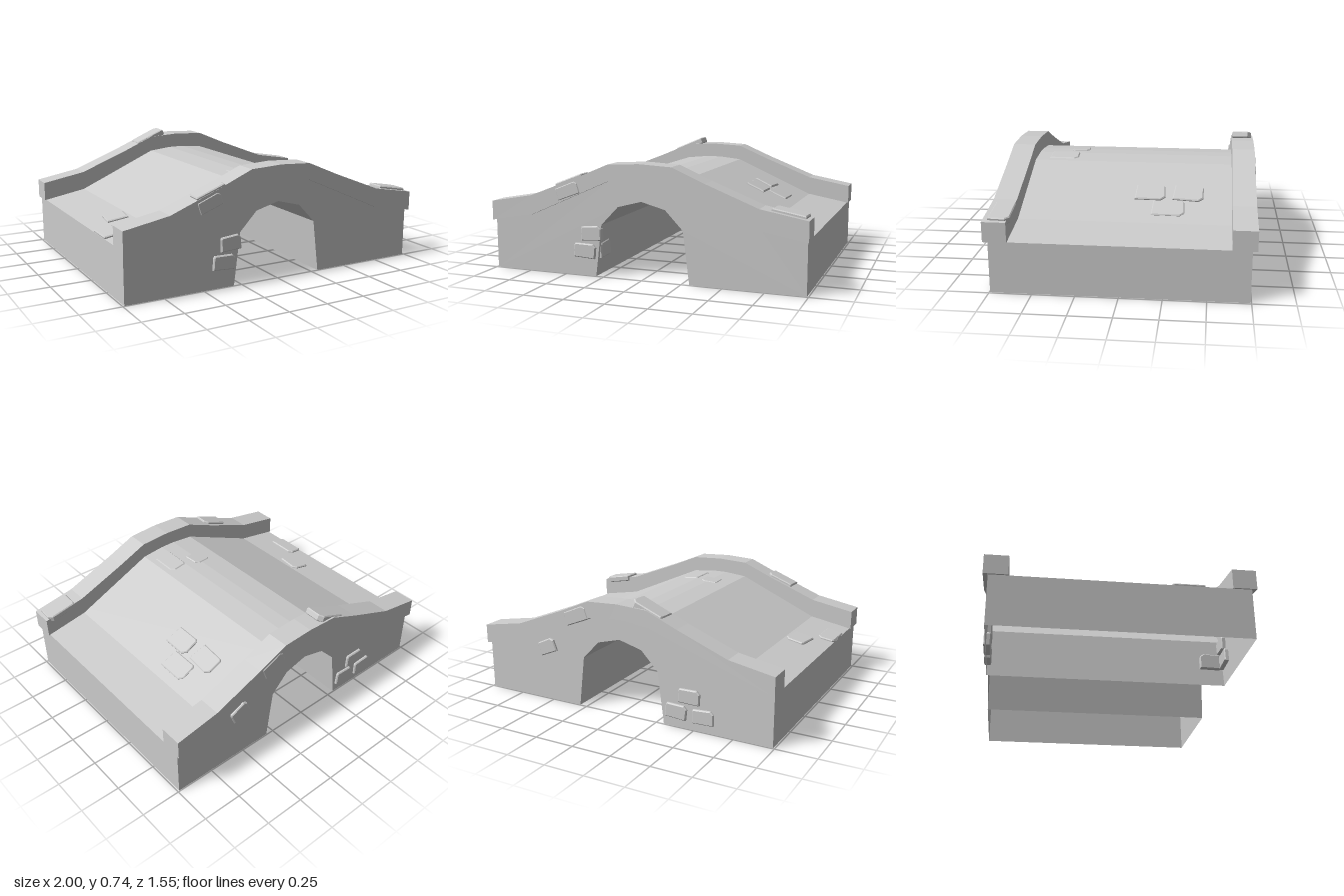
import * as THREE from 'three';

const stoneGrey = new THREE.MeshStandardMaterial({
  color: 0xcccccc, flatShading: true, side: THREE.DoubleSide,
});

// Profiles along x (x, y)
const deckLine = [[-1, .31], [-.72, .36], [-.2, .59], [-.05, .605], [.05, .605], [.2, .59], [.72, .36], [1, .31]];
const copingLine = [[-1, .43], [-.72, .48], [-.4, .605], [-.2, .69], [0, .7], [.2, .69], [.4, .605], [.72, .48], [1, .43]];
const archLine = [[-.3, 0], [-.26, .32], [-.15, .435], [0, .475], [.15, .435], [.26, .32], [.3, 0]];
const END = .99;   // half length of the body
const WALL = .745; // half width of the body

const toShape = pts => new THREE.Shape(pts.map(p => new THREE.Vector2(...p)));

// Height and slope of a profile at x
function sample(line, x) {
  let i = 0;
  while (i < line.length - 2 && x > line[i + 1][0]) i++;
  const [x0, y0] = line[i], [x1, y1] = line[i + 1];
  return { y: y0 + (y1 - y0) * (x - x0) / (x1 - x0), angle: Math.atan2(y1 - y0, x1 - x0) };
}

// Sheet that sweeps a profile across the width of the bridge
function sheet(line, halfWidth) {
  const pos = [], index = [];
  line.forEach(([x, y], i) => {
    pos.push(x, y, halfWidth, x, y, -halfWidth);
    const a = 2 * i;
    if (i) index.push(a - 2, a, a - 1, a, a + 1, a - 1);
  });
  const g = new THREE.BufferGeometry();
  g.setAttribute('position', new THREE.Float32BufferAttribute(pos, 3));
  g.setIndex(index);
  g.computeVertexNormals();
  return g;
}

// Bevelled block with chipped corners; its outer face looks along +z
function stoneGeometry(w, h, out) {
  const bevel = .006, a = w / 2 - bevel, b = h / 2 - bevel, c = Math.min(w, h) * .18;
  const shape = toShape([[-a, -b * .94], [a * .95, -b], [a, b - c], [a - c, b], [-a + c * .4, b * .95], [-a * .96, b - c * .6]]);
  const g = new THREE.ExtrudeGeometry(shape, {
    depth: .03, bevelEnabled: true, bevelThickness: bevel, bevelSize: bevel, bevelSegments: 1,
  });
  return g.translate(0, 0, out - .03 - bevel);
}

export function createModel() {
  const bridge = new THREE.Group();
  bridge.name = 'stoneBridge';
  const add = (name, geometry) => {
    const mesh = new THREE.Mesh(geometry, stoneGrey);
    mesh.name = name;
    bridge.add(mesh);
    return mesh;
  };

  // Hollow body, open underneath: deck, arch vault, ends and side walls
  const bodyTop = deckLine.map(([x, y]) => [x * (Math.abs(x) === 1 ? END : 1), y]);
  add('deck', sheet(bodyTop, WALL));
  add('archVault', sheet([...archLine].reverse(), WALL));
  add('leftEnd', sheet([[END, .31], [END, 0]], WALL));
  add('rightEnd', sheet([[-END, 0], [-END, .31]], WALL));
  const wallShape = toShape([[-END, 0], ...archLine, [END, 0], ...[...bodyTop].reverse()]);
  add('frontWall', new THREE.ShapeGeometry(wallShape)).position.z = WALL;
  const backWall = add('backWall', new THREE.ShapeGeometry(wallShape));
  backWall.rotation.y = Math.PI;
  backWall.position.z = -WALL;

  // Parapets following the deck
  const parapet = new THREE.ExtrudeGeometry(
    toShape([...deckLine, ...[...copingLine].reverse()]), { depth: .14, bevelEnabled: false });
  add('frontParapet', parapet).position.z = .633;
  add('backParapet', parapet).position.z = -.773;

  // Raised stones lying on a profile: x, z, width, depth, twist, height
  const lay = (name, line, stones) => stones.forEach(([x, z, w, d, twist, out]) => {
    const { y, angle } = sample(line, x);
    const g = stoneGeometry(w / Math.cos(angle), d, out)
      .rotateZ(twist).rotateX(-Math.PI / 2).rotateZ(angle);
    add(name, g).position.set(x, y, z);
  });
  lay('deckStone', deckLine, [
    [.475, -.14, .12, .185, 0, .012], [.475, -.372, .12, .185, -.06, .012], [.6, -.255, .12, .2, 0, .008],
    [-.8, .155, .13, .16, -.1, .012], [-.935, .38, .11, .2, 0, .012],
    [.105, .455, .12, .19, 0, .006], [-.06, .37, .12, .12, .1, .004],
  ]);
  lay('parapetStone', copingLine, [
    [-.2, -.7, .2, .125, 0, .008], [-.46, .715, .18, .115, 0, .014], [.88, .68, .2, .125, 0, .016],
  ]);

  // Raised stones on upright faces: x, y, z, width, height, turn, tilt
  [
    [-.325, .265, WALL, .135, .09, 0, .08],
    [-.37, .155, WALL, .145, .09, 0, -.04],
    [-.285, .16, .66, .13, .1, Math.PI / 2, .05],
    [-.47, .205, -WALL, .14, .09, Math.PI, 0],
    [-.385, .1, -WALL, .14, .09, Math.PI, -.06],
    [-.56, .095, -WALL, .14, .09, Math.PI, .05],
    [.53, .35, -WALL, .13, .09, Math.PI, .42],
    [.29, .59, -.773, .17, .09, Math.PI, .4],
    [-.47, .52, .773, .16, .08, 0, .37],
  ].forEach(([x, y, z, w, h, turn, tilt]) => {
    const out = Math.abs(z) > WALL ? .004 : .016;
    add('wallStone', stoneGeometry(w, h, out).rotateZ(tilt).rotateY(turn)).position.set(x, y, z);
  });

  return bridge;
}
